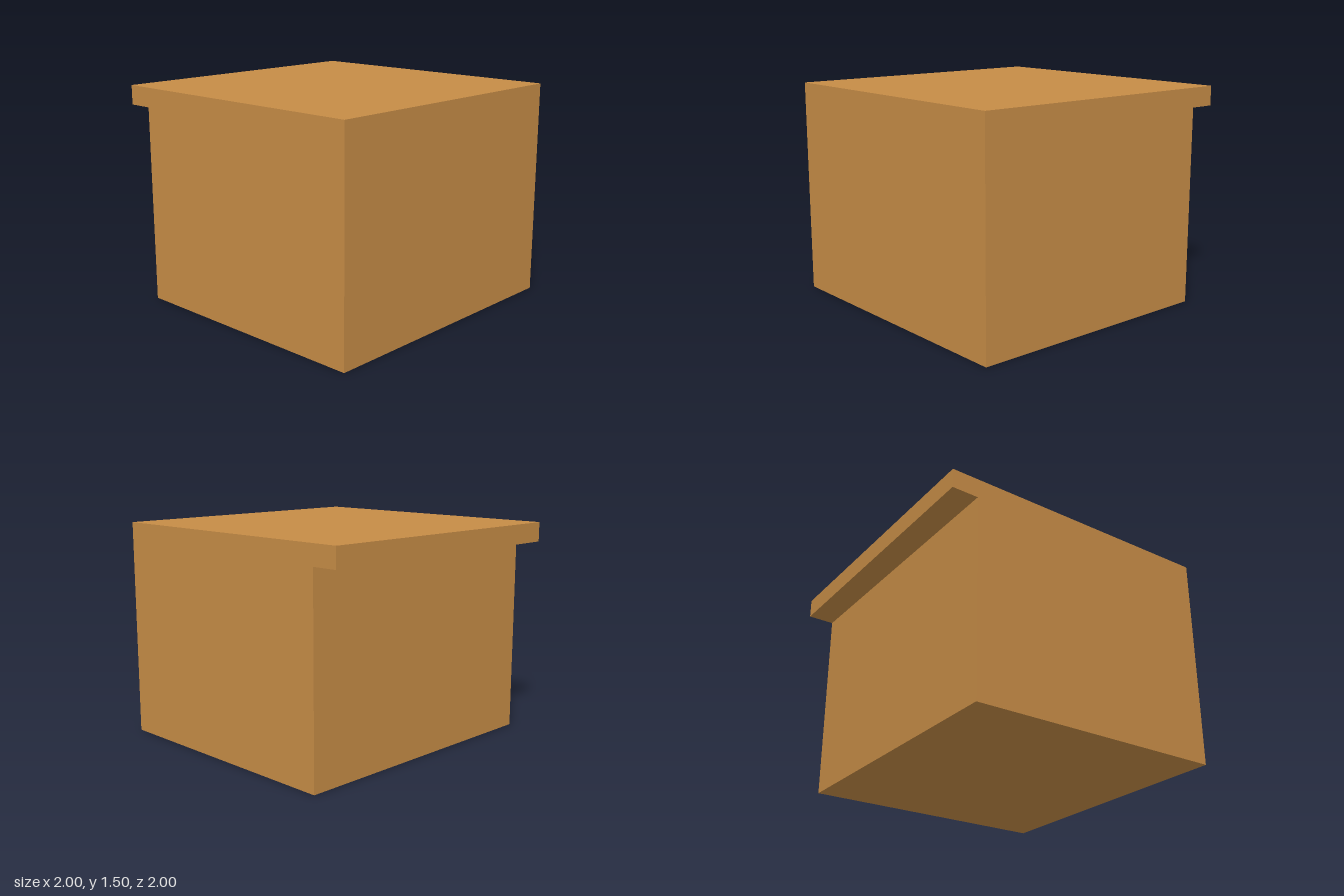
import * as THREE from 'three';

export function createModel() {
  const group = new THREE.Group();
  const material = new THREE.MeshStandardMaterial({ color: 0xc68c46, flatShading: true });

  // Side profile as (z, y): a solid block whose top overhangs at the back
  const profile = new THREE.Shape([
    [1, 0], [1, 1.505], [-1, 1.505], [-1, 1.37], [-0.815, 1.37], [-0.815, 0],
  ].map(([z, y]) => new THREE.Vector2(z, y)));

  // Sweep the profile across the full width
  const geometry = new THREE.ExtrudeGeometry(profile, { depth: 2, bevelEnabled: false });
  geometry.translate(0, 0, -1).rotateY(-Math.PI / 2);

  const block = new THREE.Mesh(geometry, material);
  block.name = 'blockWithBackLip';
  group.add(block);
  return group;
}
